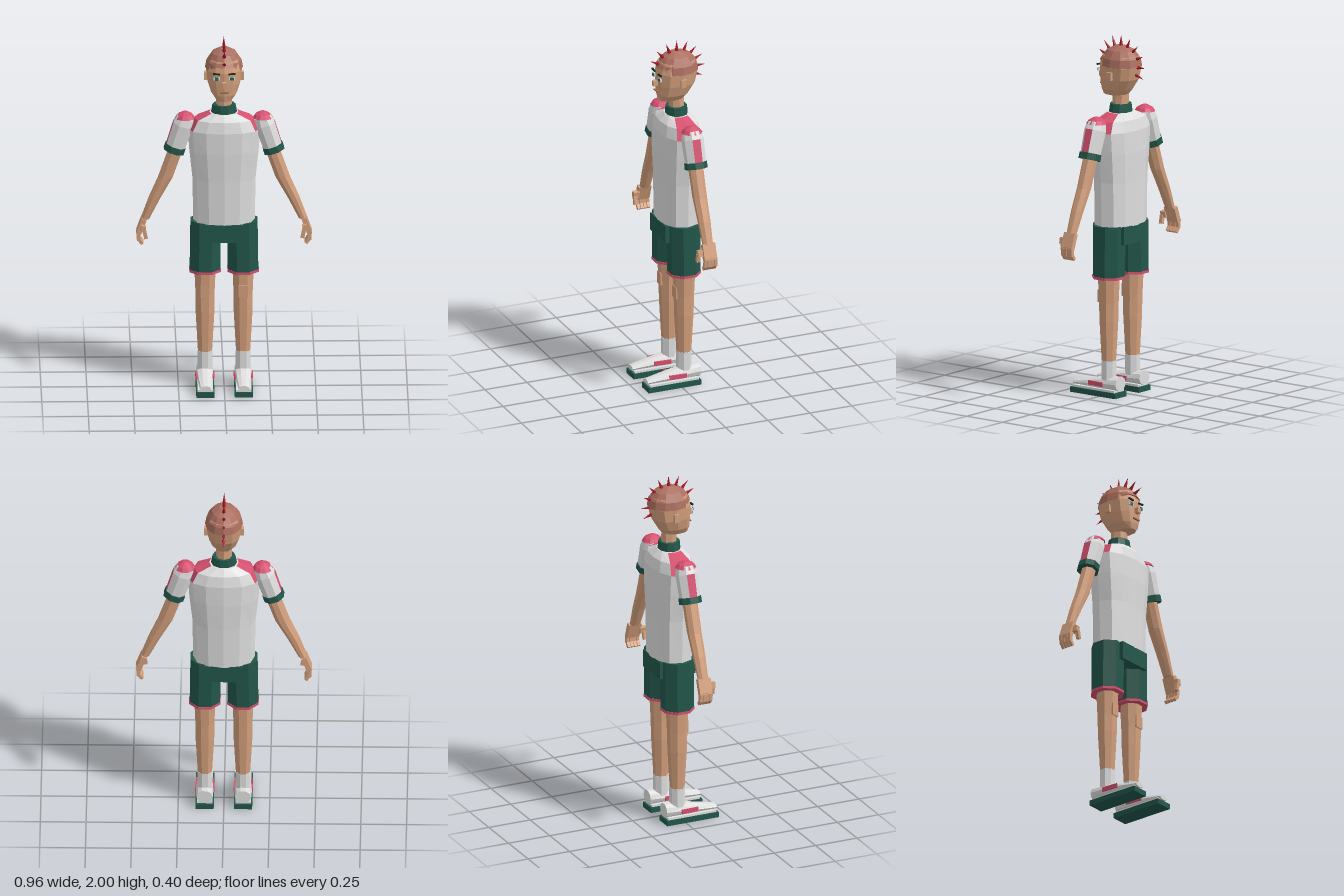
import * as THREE from 'three';

const mat = (name, color) => {
  const m = new THREE.MeshStandardMaterial({ color });
  m.name = name;
  return m;
};

export function createModel() {
  const skin = mat('skin', 0xd39f7c), white = mat('white cloth', 0xdedede), green = mat('dark green', 0x22564a);
  const pink = mat('pink trim', 0xd6506f), red = mat('red hair', 0xa81828), scalp = mat('shaved scalp', 0xab6f60);
  const teal = mat('teal eye', 0x1d7068), dark = mat('dark brow', 0x1c2b28), lip = mat('lip', 0xa06a55);
  const model = new THREE.Group();
  model.name = 'athlete';
  const AXIS = -0.03; // z of the body axis

  // Faceted mesh: unshared corners give flat normals
  function add(parent, name, geometry, material) {
    const g = geometry.index ? geometry.toNonIndexed() : geometry;
    g.computeVertexNormals();
    const mesh = new THREE.Mesh(g, material);
    mesh.name = name;
    parent.add(mesh);
    return mesh;
  }

  function box(parent, name, material, size, pos, rotZ = 0) {
    const mesh = add(parent, name, new THREE.BoxGeometry(...size), material);
    mesh.position.set(...pos);
    mesh.rotation.z = rotZ;
    return mesh;
  }

  // Closed loft through rings [y, centreX, centreZ, radiusX, radiusZ], bottom to top;
  // paint(i, j) picks the material index of the facet
  function loft(rings, n, { offset = 0, power = 1, paint = () => 0 } = {}) {
    const pos = [], geo = new THREE.BufferGeometry();
    const point = ([y, cx, cz, rx, rz], j) => {
      const a = ((j + offset) / n) * Math.PI * 2, s = Math.sin(a);
      return [cx + rx * Math.cos(a), y, cz + rz * Math.sign(s) * Math.abs(s) ** power];
    };
    const tri = (m, a, b, c) => {
      geo.addGroup(pos.length / 3, 3, m);
      pos.push(...a, ...b, ...c);
    };
    const low = rings[0], top = rings[rings.length - 1];
    for (let j = 0; j < n; j++) {
      for (let i = 0; i < rings.length - 1; i++) {
        const a = point(rings[i], j), b = point(rings[i], j + 1);
        const c = point(rings[i + 1], j + 1), d = point(rings[i + 1], j);
        tri(paint(i, j), a, c, b);
        tri(paint(i, j), a, d, c);
      }
      tri(0, [low[1], low[0], low[2]], point(low, j), point(low, j + 1));
      tri(0, [top[1], top[0], top[2]], point(top, j + 1), point(top, j));
    }
    geo.setAttribute('position', new THREE.Float32BufferAttribute(pos, 3));
    return geo;
  }
  const part = (parent, name, material, rings, n, opts) =>
    add(parent, name, loft(rings, n, opts), Array.isArray(material) ? material : [material]);

  // Shirt with pink shoulder panels
  part(model, 'shirt', [white, pink], [
    [0.95, 0, AXIS, 0.168, 0.11], [1.2, 0, AXIS, 0.173, 0.112], [1.36, 0, AXIS, 0.19, 0.117],
    [1.48, 0, AXIS, 0.198, 0.115], [1.54, 0, AXIS, 0.165, 0.1], [1.575, 0, AXIS, 0.08, 0.066],
  ], 12, { power: 0.75, paint: (i, j) => (i >= 3 && [0, 5, 6, 11].includes(j) ? 1 : 0) });
  part(model, 'collar', green, [[1.565, 0, AXIS, 0.073, 0.063], [1.62, 0, AXIS, 0.063, 0.058]], 10);
  part(model, 'neck', skin, [[1.56, 0, AXIS, 0.045, 0.045], [1.72, 0, AXIS, 0.043, 0.045]], 8);

  // Head
  const head = new THREE.Group();
  head.name = 'head';
  model.add(head);
  part(head, 'face', skin, [
    [1.665, 0, 0.005, 0.045, 0.073], [1.7, 0, -0.005, 0.072, 0.09], [1.76, 0, -0.022, 0.092, 0.11],
    [1.83, 0, -0.03, 0.099, 0.118], [1.89, 0, -0.032, 0.084, 0.104],
  ], 12, { power: 0.75 });
  const cap = loft([
    [1.832, 0, -0.033, 0.104, 0.122], [1.875, 0, -0.033, 0.096, 0.114],
    [1.918, 0, -0.033, 0.067, 0.082], [1.942, 0, -0.033, 0.025, 0.032],
  ], 12);
  // Raise the hairline over the forehead
  const p = cap.attributes.position;
  for (let i = 0; i < p.count; i++) {
    if (p.getY(i) < 1.84 && p.getZ(i) > 0.05) p.setY(i, 1.862);
  }
  add(head, 'scalp', cap, [scalp]);
  box(head, 'nose', skin, [0.024, 0.03, 0.035], [0, 1.77, 0.093]);
  box(head, 'mouth', lip, [0.05, 0.007, 0.009], [0, 1.722, 0.089]);
  for (const s of [-1, 1]) {
    box(head, 'ear', skin, [0.022, 0.045, 0.03], [s * 0.098, 1.783, AXIS]);
    box(head, 'eyeWhite', white, [0.034, 0.015, 0.009], [s * 0.042, 1.801, 0.084]);
    box(head, 'iris', teal, [0.02, 0.015, 0.009], [s * 0.042, 1.801, 0.088]);
    box(head, 'eyebrow', dark, [0.038, 0.008, 0.009], [s * 0.042, 1.829, 0.086], s * 0.08);
  }

  // Row of spikes fanning from forehead to nape
  for (let k = 0; k < 9; k++) {
    const a = THREE.MathUtils.degToRad(65 - k * 22);
    const spike = add(head, 'hairSpike', new THREE.ConeGeometry(0.016, 0.085, 6), red);
    spike.position.set(0, 1.83 + 0.1275 * Math.cos(a), AXIS + 0.1275 * Math.sin(a));
    spike.rotation.x = a;
  }

  // Shorts seat
  box(model, 'shortsSeat', green, [0.21, 0.1, 0.215], [0, 0.903, AXIS + 0.002]);

  for (const s of [-1, 1]) {
    // Arm with sleeve
    const arm = new THREE.Group();
    arm.name = s > 0 ? 'leftArm' : 'rightArm';
    model.add(arm);
    const sleeve = new THREE.Group();
    sleeve.name = 'sleeve';
    sleeve.position.set(s * 0.21, 1.545, AXIS);
    sleeve.rotation.z = s * 0.32;
    arm.add(sleeve);
    const outer = s > 0 ? 0 : 4;
    part(sleeve, 'sleeveCloth', [white, pink], [
      [-0.18, 0, 0, 0.056, 0.058], [-0.045, 0, 0, 0.06, 0.062], [0, 0, 0, 0.05, 0.052],
    ], 8, { offset: -0.5, paint: (i, j) => (i === 0 && j === outer ? 1 : 0) });
    part(sleeve, 'cuff', green, [[-0.208, 0, 0, 0.061, 0.064], [-0.172, 0, 0, 0.06, 0.063]], 8, { offset: -0.5 });
    part(arm, 'shoulderCap', pink, [
      [1.54, s * 0.212, AXIS, 0.055, 0.06], [1.56, s * 0.212, AXIS, 0.042, 0.045], [1.576, s * 0.212, AXIS, 0.014, 0.014],
    ], 10);
    part(arm, 'armSkin', skin, [
      [0.96, s * 0.432, AXIS, 0.025, 0.03], [1.08, s * 0.38, AXIS, 0.034, 0.036],
      [1.2, s * 0.32, AXIS, 0.042, 0.04], [1.4, s * 0.25, AXIS, 0.042, 0.042],
    ], 8, { offset: 0.5 });

    // Hand with curled fingers and thumb
    box(arm, 'palm', skin, [0.028, 0.09, 0.075], [s * 0.452, 0.922, AXIS], s * 0.35);
    for (let f = 0; f < 4; f++) {
      const z = AXIS - 0.029 + f * 0.0193;
      box(arm, 'finger', skin, [0.02, 0.05, 0.0175], [s * 0.468, 0.868, z], s * -0.05);
      box(arm, 'fingertip', skin, [0.017, 0.035, 0.017], [s * 0.457, 0.837, z], s * -0.65);
    }
    box(arm, 'thumbBase', skin, [0.026, 0.035, 0.035], [s * 0.442, 0.918, 0.018], s * 0.2);
    box(arm, 'thumb', skin, [0.02, 0.05, 0.02], [s * 0.432, 0.888, 0.027], s * -0.2);

    // Leg
    const leg = new THREE.Group(), x = s * 0.104;
    leg.name = s > 0 ? 'leftLeg' : 'rightLeg';
    model.add(leg);
    part(leg, 'shortsLeg', green, [
      [0.672, x, AXIS, 0.09, 0.092], [0.955, x * 0.96, AXIS, 0.09, 0.094],
    ], 8, { offset: 0.5 });
    part(leg, 'hem', pink, [[0.66, x, AXIS, 0.093, 0.095], [0.674, x, AXIS, 0.093, 0.095]], 8, { offset: 0.5 });
    part(leg, 'legSkin', skin, [
      [0.2, x, AXIS, 0.042, 0.041], [0.42, x, AXIS, 0.055, 0.053], [0.53, x, AXIS, 0.056, 0.056], [0.7, x, AXIS, 0.064, 0.064],
    ], 8, { offset: 0.5 });
    box(leg, 'kneecap', skin, [0.05, 0.07, 0.02], [x, 0.555, 0.018]);
    part(leg, 'sock', white, [[0.08, x, AXIS, 0.044, 0.043], [0.2, x, AXIS, 0.044, 0.043]], 8, { offset: 0.5 });

    // Shoe, lofted from heel to toe
    const fx = s * 0.105;
    box(leg, 'sole', green, [0.1, 0.03, 0.312], [fx, 0.015, 0.043]);
    box(leg, 'midsole', white, [0.085, 0.014, 0.29], [fx, 0.035, 0.043]);
    const upper = loft([
      [-0.112, fx, -0.077, 0.045, 0.041], [0, fx, -0.072, 0.049, 0.036],
      [0.08, fx, -0.064, 0.044, 0.027], [0.197, fx, -0.052, 0.031, 0.014],
    ], 10).rotateX(Math.PI / 2);
    add(leg, 'shoeUpper', upper, [white]);
    for (const t of [-1, 1]) {
      const stripe = box(leg, 'shoeStripe', pink, [0.008, 0.024, 0.1], [fx + t * 0.047, 0.069, 0.025]);
      stripe.rotation.y = t * -0.05;
    }
  }
  return model;
}
